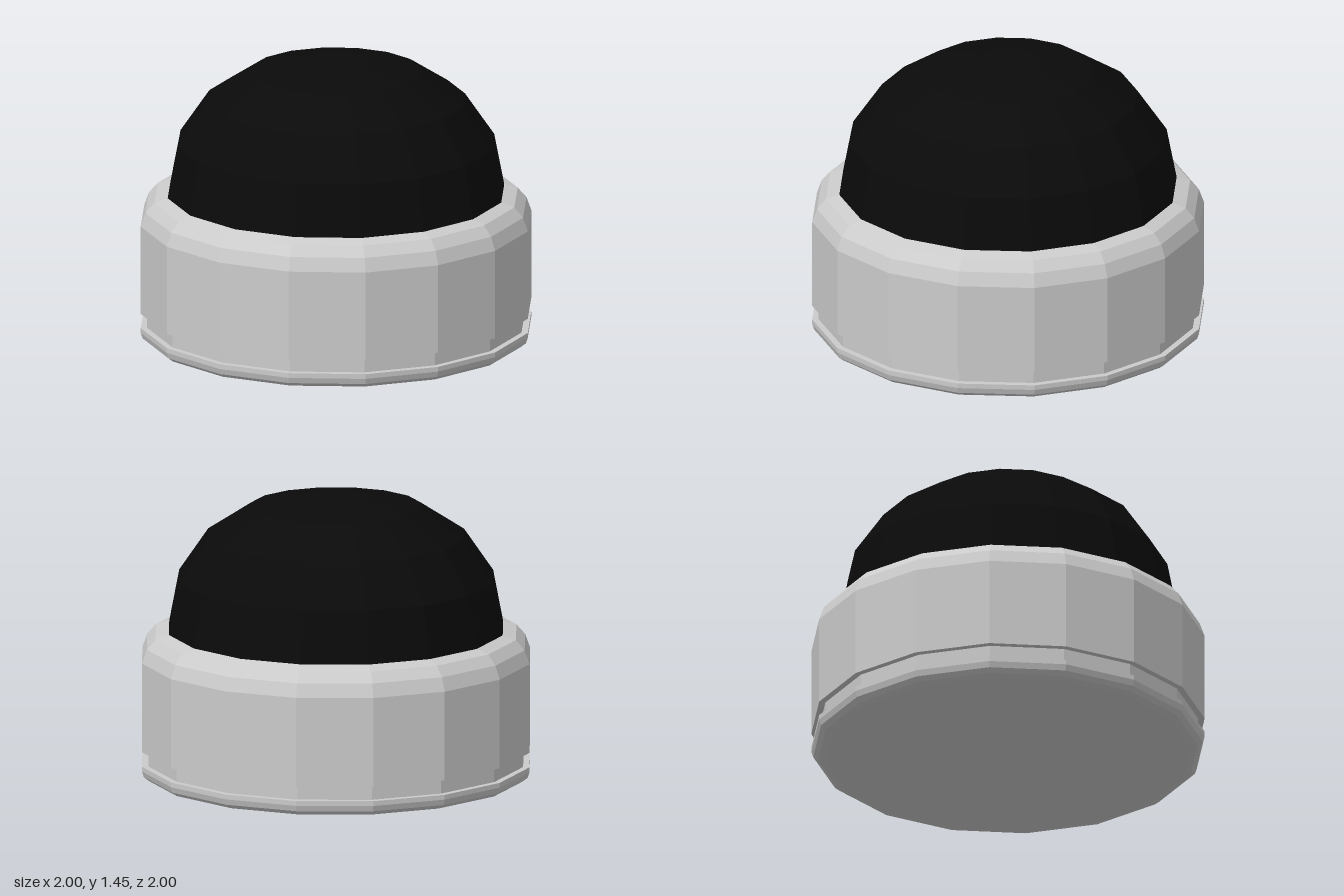
import * as THREE from 'three';

const SIDES = 16;

// Faceted turned part from [radius, height] pairs, listed bottom to top
function turned(name, profile, color) {
  const points = profile.map(([r, y]) => new THREE.Vector2(r, y));
  const material = new THREE.MeshStandardMaterial({ color, flatShading: true });
  const mesh = new THREE.Mesh(new THREE.LatheGeometry(points, SIDES), material);
  mesh.name = name;
  return mesh;
}

export function createModel() {
  const group = new THREE.Group();
  group.name = 'domedButton';
  const grey = 0xcccccc;

  // Thin foot with a rounded lower edge
  group.add(turned('basePlate', [
    [0, 0], [0.93, 0], [0.965, 0.01], [0.99, 0.03], [1, 0.06], [1, 0.085], [0.96, 0.085],
  ], grey));

  // Recessed groove between foot and housing
  group.add(turned('groove', [[0.967, 0.08], [0.967, 0.165]], grey));

  // Main housing with a rounded shoulder
  group.add(turned('housing', [
    [0.96, 0.16], [1, 0.16], [1, 0.62], [0.975, 0.69], [0.93, 0.742], [0.865, 0.763], [0.8, 0.763],
  ], grey));

  // Black dome with a small flat top
  group.add(turned('dome', [
    [0.862, 0.76], [0.81, 1.03], [0.66, 1.25], [0.437, 1.395], [0.17, 1.446], [0, 1.446],
  ], 0x0a0a0a));

  return group;
}
